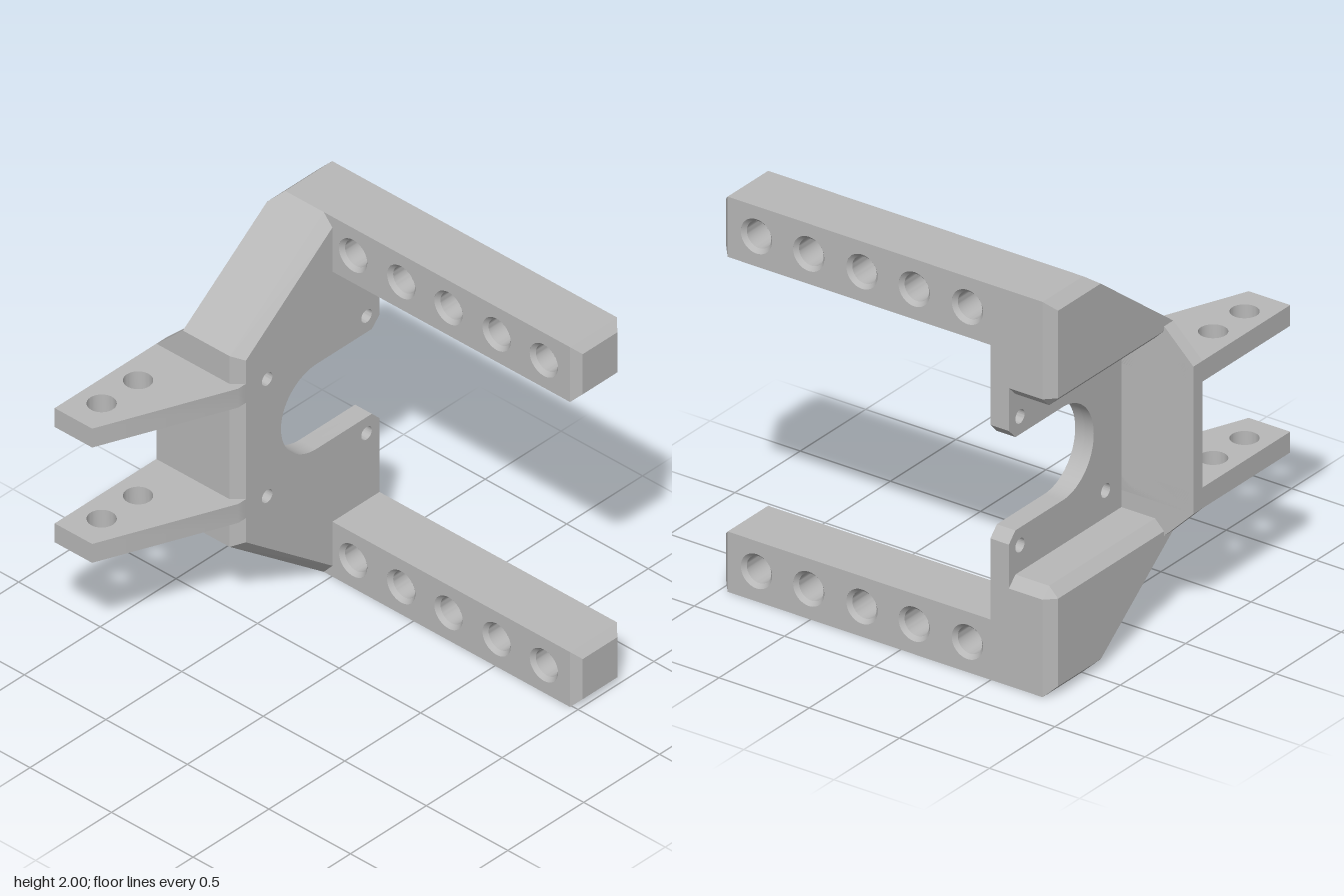
import * as THREE from 'three';
import { toCreasedNormals } from 'three/addons/utils/BufferGeometryUtils.js';
import { ConvexGeometry } from 'three/addons/geometries/ConvexGeometry.js';

const grey = new THREE.MeshStandardMaterial({ color: 0xb8b8b8, side: THREE.DoubleSide });
grey.name = 'grey';

const polygon = (points) => new THREE.Shape(points.map(([x, y]) => new THREE.Vector2(x, y)));
const drill = (shape, x, y, r) => shape.holes.push(new THREE.Path().absarc(x, y, r, 0, Math.PI * 2, true));
const extrude = (shape, depth) =>
  toCreasedNormals(new THREE.ExtrudeGeometry(shape, { depth, bevelEnabled: false, curveSegments: 24 }), 0.5);
const hull = (points) => new ConvexGeometry(points.map((p) => new THREE.Vector3(...p)));

function add(parent, name, geometry) {
  const mesh = new THREE.Mesh(geometry, grey);
  mesh.name = name;
  parent.add(mesh);
  return mesh;
}

// Mounting plate outline; `inset` pulls in the three outer left-hand edges
function plateShape(inset) {
  const s = inset
    ? polygon([[0.8, 0.715], [0.8, 0], [0.49, 0], [0.49, 0.06], [-0.08, 0.495], [-0.08, 1.505],
      [0.49, 1.94], [0.49, 2], [0.8, 2], [0.8, 1.29], [0.75, 1.238]])
    : polygon([[0.8, 0.715], [0.8, 0], [0.49, 0], [-0.13, 0.47], [-0.13, 1.53],
      [0.49, 2], [0.8, 2], [0.8, 1.29], [0.75, 1.238]]);
  s.lineTo(0.387, 1.238);
  s.absarc(0.387, 1.002, 0.236, Math.PI / 2, Math.PI * 1.5, false);
  s.lineTo(0.75, 0.766);
  s.closePath();
  for (const x of [0.06, 0.715]) for (const y of [1.328, 0.677]) drill(s, x, y, 0.035);
  return s;
}

// Perforated arm, centred on y = 0, with countersunk cross holes
function createArm() {
  const arm = new THREE.Group();
  const holes = [0.8, 0.51, 0.215, -0.075, -0.37];
  const half = 0.1525;
  const layer = (name, r, x0, x1) => {
    const s = polygon([[-0.96, -half], [0.6, -half], [0.6, half], [-0.96, half]]);
    holes.forEach((z) => drill(s, -z, 0, r));
    add(arm, name, extrude(s, x1 - x0).rotateY(Math.PI / 2).translate(x0, 0, 0));
  };
  layer('armInnerSide', 0.087, 0.49, 0.51);
  layer('armCore', 0.068, 0.51, 0.78);
  layer('armOuterSide', 0.087, 0.78, 0.8);
  for (const z of holes) {
    for (const [x, sign] of [[0.5, 1], [0.79, -1]]) {
      const cone = new THREE.CylinderGeometry(0.087, 0.068, 0.02, 32, 1, true);
      add(arm, 'countersink', cone.rotateZ(sign * Math.PI / 2).translate(x, 0, z));
    }
  }
  // Chamfered tip
  const tip = [];
  for (const [z, inset] of [[0.96, 0], [1, 0.041]]) {
    for (const sx of [-1, 1]) for (const sy of [-1, 1]) {
      tip.push([0.645 + sx * (0.155 - inset), sy * (half - inset), z]);
    }
  }
  add(arm, 'armTip', hull(tip));
  return arm;
}

export function createModel() {
  const model = new THREE.Group();
  model.name = 'bracket';

  // Mounting plate with a chamfered front left rim
  add(model, 'plateBack', extrude(plateShape(false), 0.05).translate(0, 0, -0.6));
  add(model, 'plateFront', extrude(plateShape(true), 0.053).translate(0, 0, -0.55));
  const outer = [[0.49, 0], [-0.13, 0.47], [-0.13, 1.53], [0.49, 2]];
  const inner = [[0.49, 0.06], [-0.08, 0.495], [-0.08, 1.505], [0.49, 1.94]];
  for (let i = 0; i < 3; i++) {
    const points = [];
    for (const j of [i, i + 1]) {
      points.push([...outer[j], -0.55], [...inner[j], -0.55], [...inner[j], -0.497]);
    }
    add(model, 'plateChamfer', hull(points));
  }

  // Side wall behind the plate
  const wall = polygon([[0.6, 0.47], [0.838, 0.47], [1, 0.63], [1, 1.375], [0.838, 1.53], [0.6, 1.53]]);
  add(model, 'sideWall', extrude(wall, 0.07).rotateY(Math.PI / 2).translate(-0.13, 0, 0));

  // Upper and lower halves
  for (const top of [true, false]) {
    const prefix = top ? 'upper' : 'lower';
    const flip = (y) => (top ? y : 2 - y);

    const arm = createArm();
    arm.name = prefix + 'Arm';
    arm.position.y = flip(1.8475);
    model.add(arm);

    // Tapered block behind the plate, chamfered at the back
    const section = [[-0.13, 1.457], [-0.13, 1.53], [0.49, 2], [0.8, 2], [0.8, 1.507], [0.75, 1.457]];
    const rear = [[-0.13, 1.507], [-0.13, 1.53], [0.424, 1.95], [0.75, 1.95], [0.75, 1.507]];
    const points = [];
    for (const z of [-0.6, -0.787]) section.forEach(([x, y]) => points.push([x, flip(y), z]));
    rear.forEach(([x, y]) => points.push([x, flip(y), -0.837]));
    add(model, prefix + 'Block', hull(points));

    // Hinge lug with two holes
    const lug = polygon([[-0.8, -1], [-0.06, -1], [-0.06, -0.56], [-0.08, -0.497], [-0.13, -0.497], [-0.8, -0.77]]);
    for (const x of [-0.63, -0.39]) drill(lug, x, -0.87, 0.068);
    add(model, prefix + 'Lug', extrude(lug, 0.105).rotateX(Math.PI / 2).translate(0, top ? 1.376 : 0.735, 0));
  }
  return model;
}
